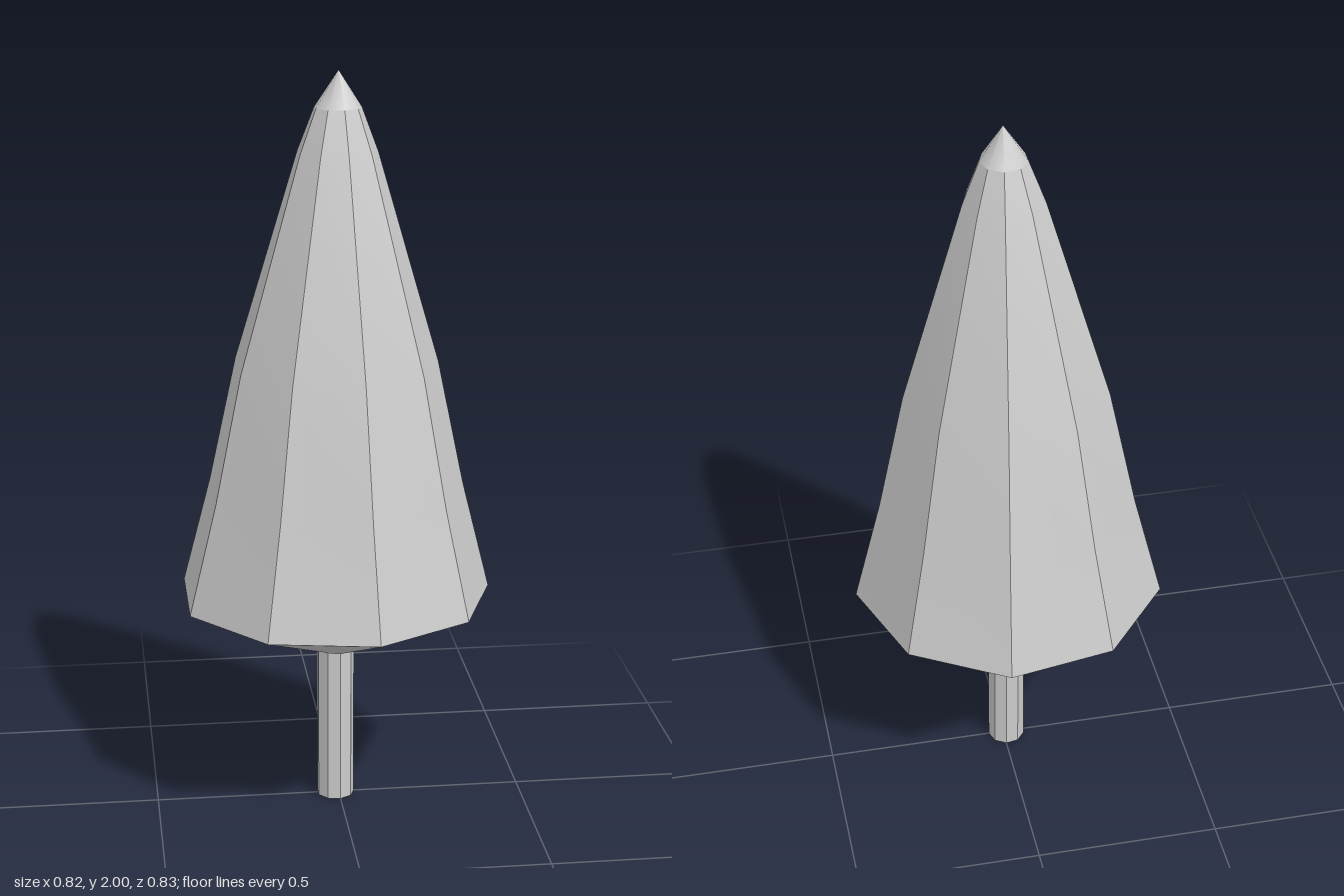
import * as THREE from 'three';
import { toCreasedNormals } from 'three/addons/utils/BufferGeometryUtils.js';

const SIDES = 9;
const LEAN = -0.03; // each ring shifts along x in proportion to its radius

// Nine-sided turned shell from [radius, height] points, one corner facing +x
function shell(points) {
  const geo = new THREE.LatheGeometry(
    points.map(([r, y]) => new THREE.Vector2(r, y)), SIDES, Math.PI / 2);
  const pos = geo.attributes.position;
  for (let i = 0; i < pos.count; i++) {
    const r = Math.hypot(pos.getX(i), pos.getZ(i));
    pos.setX(i, pos.getX(i) + LEAN * r);
  }
  return geo;
}

export function createModel() {
  const model = new THREE.Group();
  model.name = 'tree';
  const material = new THREE.MeshStandardMaterial({ color: 0xcccccc });
  const add = (name, geo) => {
    const mesh = new THREE.Mesh(geo, material);
    mesh.name = name;
    model.add(mesh);
    return mesh;
  };

  // Trunk: straight nine-sided post
  const trunk = new THREE.CylinderGeometry(0.051, 0.051, 0.43, SIDES, 1, false, Math.PI / 2);
  add('trunk', toCreasedNormals(trunk, 0.35)).position.set(-0.009, 0.215, 0);

  // Underside of the foliage: smooth shallow cone
  add('foliageUnderside', shell([[0.05, 0.43], [0.4225, 0.593]]));

  // Foliage: facets smooth along their height, sharp between sides
  add('foliage', toCreasedNormals(shell([
    [0.4225, 0.593], [0.346, 0.89], [0.273, 1.23], [0.106, 1.79], [0.062, 1.905],
  ]), 0.35));

  // Tip: small smooth cone
  add('tip', shell([[0.062, 1.905], [0, 2]]));

  return model;
}
